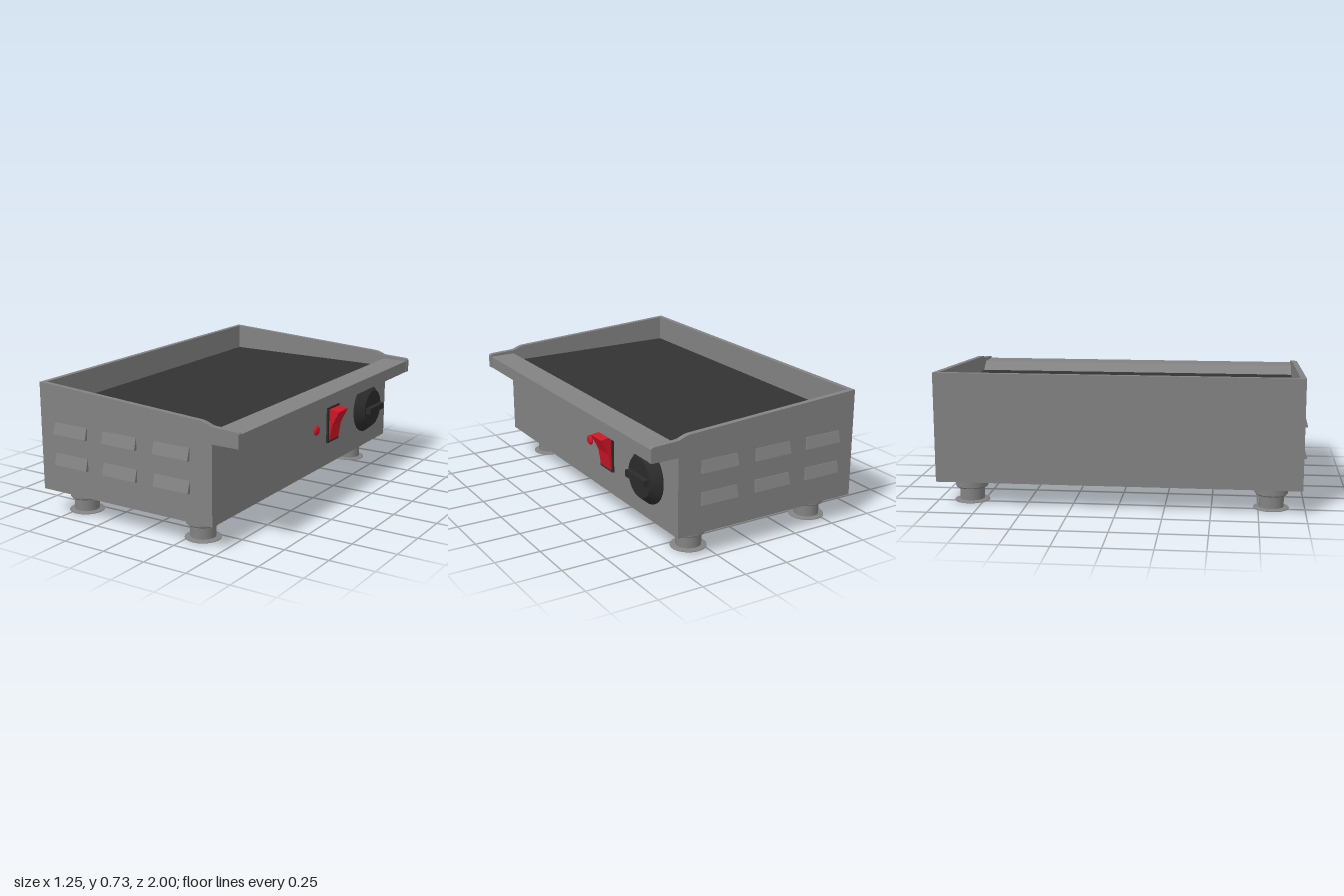
import * as THREE from 'three';

const mat = (name, color) => Object.assign(new THREE.MeshStandardMaterial({ color }), { name });

export function createModel() {
  const steel = mat('steel', 0x828282);
  const iron = mat('griddleIron', 0x333333);
  const black = mat('blackPlastic', 0x2b2b2b);
  const red = mat('redPlastic', 0xcc1626);
  const group = new THREE.Group();

  const add = (name, geometry, material, x = 0, y = 0, z = 0, parent = group) => {
    const mesh = new THREE.Mesh(geometry, material);
    mesh.name = name;
    mesh.position.set(x, y, z);
    parent.add(mesh);
    return mesh;
  };
  // Prism: an x-y outline stretched along z, centred on z = 0
  const prism = (points, depth) => {
    const shape = new THREE.Shape(points.map(([x, y]) => new THREE.Vector2(x, y)));
    return new THREE.ExtrudeGeometry(shape, { depth, bevelEnabled: false }).translate(0, 0, -depth / 2);
  };

  // Body with the sloped drain edge and overhanging front lip
  add('body', prism([
    [-0.6, 0.135], [0.472, 0.135], [0.472, 0.562], [0.622, 0.562],
    [0.622, 0.63], [0.472, 0.63], [0.41, 0.58], [-0.6, 0.58],
  ], 1.9), steel);
  add('backWall', new THREE.BoxGeometry(0.028, 0.595, 1.9), steel, -0.611, 0.4325, 0);
  add('cookingPlate', new THREE.BoxGeometry(1.007, 0.008, 1.898), iron, -0.0935, 0.58, 0);

  // Side walls with a sloping top edge
  const wall = prism([
    [-0.625, 0.135], [0.472, 0.135], [0.472, 0.562], [0.625, 0.562], [0.625, 0.634],
    [0.618, 0.641], [0.605, 0.644], [0.48, 0.65], [0.465, 0.652], [0.425, 0.667],
    [0.405, 0.671], [-0.61, 0.73], [-0.625, 0.73],
  ], 0.03);
  for (const side of [1, -1]) add('sideWall', wall, steel, 0, 0, side * 0.965);

  // Louvred vents: wedges widening downwards
  const louvre = prism([[0, 0], [0.02, 0], [0.02, 0.004], [0.003, 0.066], [0, 0.066]], 0.215).rotateY(-Math.PI / 2);
  for (const side of [1, -1]) {
    for (const x of [-0.418, -0.095, 0.232]) {
      for (const y of [0.287, 0.457]) {
        add('ventLouvre', louvre, steel, x, y, side * 0.98).rotation.y = side > 0 ? 0 : Math.PI;
      }
    }
  }

  // Feet: collar, stem and thin flared base
  const footProfile = [
    [0, 0], [0.096, 0], [0.096, 0.003], [0.068, 0.009], [0.068, 0.077],
    [0.084, 0.077], [0.089, 0.083], [0.089, 0.136],
  ];
  // Doubled points keep the edges of the turned shapes sharp
  const turned = (profile, segments) => {
    const parts = new THREE.Group();
    for (let i = 0; i < profile.length - 1; i++) {
      const pair = [profile[i], profile[i + 1]].map(([r, y]) => new THREE.Vector2(r, y));
      parts.add(new THREE.Mesh(new THREE.LatheGeometry(pair, segments)));
    }
    return parts;
  };
  const addTurned = (name, profile, material, x, y, z) => {
    const part = turned(profile, 40);
    part.name = name;
    part.children.forEach((m) => { m.material = material; m.name = name + 'Surface'; });
    part.position.set(x, y, z);
    group.add(part);
    return part;
  };
  for (const x of [-0.465, 0.308]) {
    for (const z of [-0.82, 0.82]) addTurned('foot', footProfile, steel, x, 0, z);
  }

  // Thermostat knob with grip bar
  const knob = addTurned('thermostatKnob', [
    [0.15, 0], [0.15, 0.006], [0.108, 0.055], [0, 0.055],
  ], black, 0.472, 0.375, -0.695);
  knob.rotation.z = -Math.PI / 2;
  add('knobGrip', new THREE.BoxGeometry(0.035, 0.036, 0.185), black, 0.538, 0.375, -0.695);

  // Rocker switch in a black frame
  add('switchFrame', new THREE.BoxGeometry(0.014, 0.21, 0.136), black, 0.476, 0.374, -0.268);
  add('switchRocker', prism([
    [0.475, 0.28], [0.486, 0.28], [0.502, 0.375], [0.545, 0.46], [0.49, 0.468], [0.475, 0.468],
  ], 0.112), red, 0, 0, -0.268);

  // Indicator lamp
  add('indicatorLamp', new THREE.SphereGeometry(0.028, 24, 16), red, 0.478, 0.375, -0.072).scale.x = 0.45;

  return group;
}
